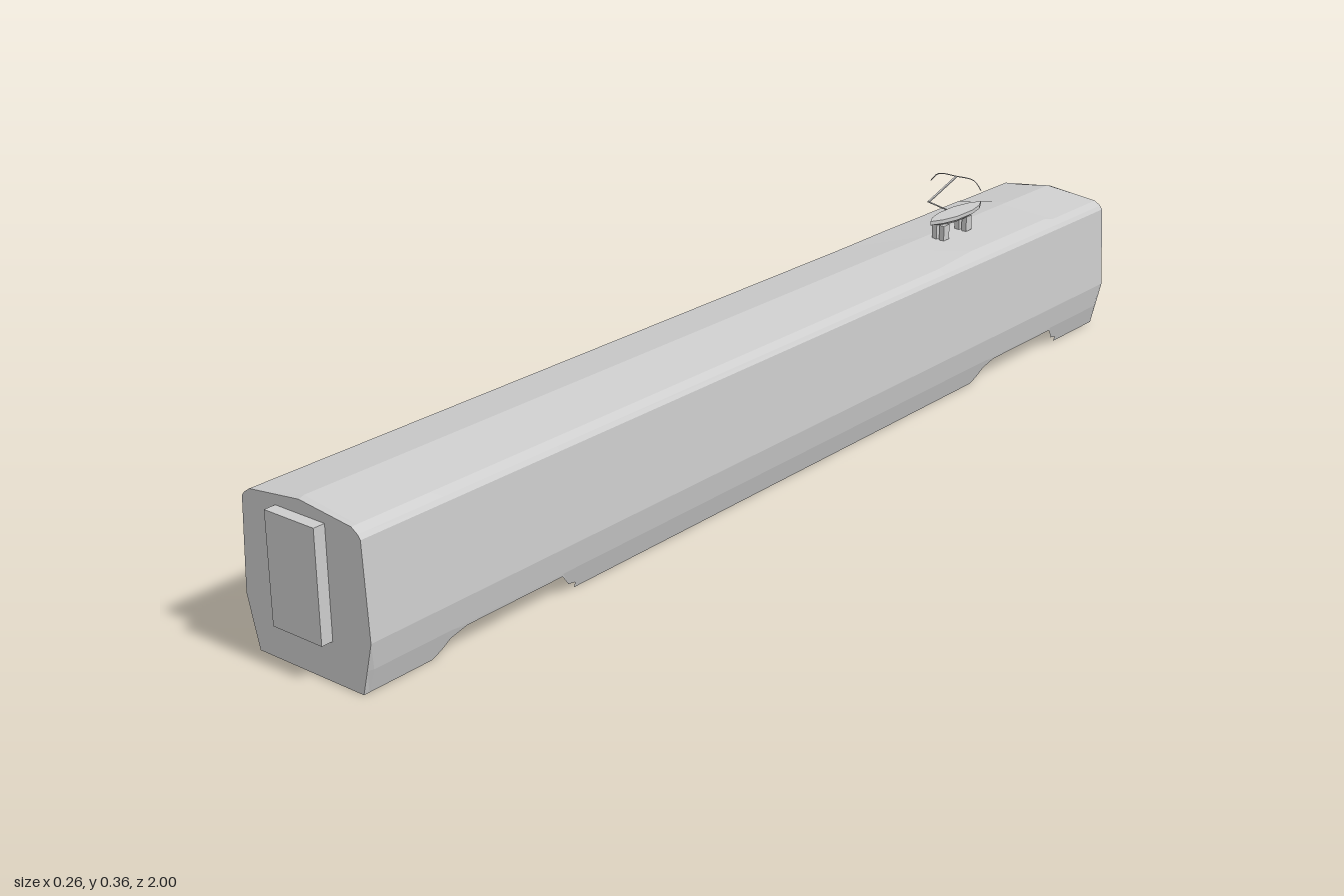
import * as THREE from 'three';

const grey = new THREE.MeshStandardMaterial({ color: 0xcccccc, flatShading: true, side: THREE.DoubleSide });

function add(parent, name, geometry, x = 0, y = 0, z = 0) {
  const mesh = new THREE.Mesh(geometry, grey);
  mesh.name = name;
  mesh.position.set(x, y, z);
  parent.add(mesh);
  return mesh;
}

// Joins equal-sized cross-sections into an open skin
function loft(sections) {
  const n = sections[0].length, index = [];
  for (let i = 0; i < sections.length - 1; i++) {
    for (let j = 0; j < n - 1; j++) {
      const a = i * n + j, b = a + n;
      index.push(a, a + 1, b, a + 1, b + 1, b);
    }
  }
  const g = new THREE.BufferGeometry();
  g.setAttribute('position', new THREE.Float32BufferAttribute(sections.flat(2), 3));
  g.setIndex(index);
  g.computeVertexNormals();
  return g;
}

// Half profile from skirt edge to roof ridge, mirrored to a full section
function profile(skirtY, isEnd, raised) {
  const half = [
    [0.107 + skirtY * 0.34, skirtY],
    [isEnd ? 0.117 : 0.12, 0.04],
    [0.128, 0.085],
    [0.12, 0.237],
    [0.115, 0.244],
    raised ? [0.098, 0.256] : [0.103, 0.252],
    [0, isEnd ? 0.264 : 0.267],
  ];
  return [...half, ...half.slice(0, -1).reverse().map(([x, y]) => [-x, y])];
}

// Thin flat bar between two points in the plane x = 0
function bar(parent, name, [z1, y1], [z2, y2]) {
  const m = add(parent, name, new THREE.BoxGeometry(0.004, 0.002, Math.hypot(z2 - z1, y2 - y1)),
    0, (y1 + y2) / 2, (z1 + z2) / 2);
  m.rotation.x = -Math.atan2(y2 - y1, z2 - z1);
}

export function createModel() {
  const car = new THREE.Group();
  car.name = 'railCar';

  // Body shell, open below, with a notch in the skirts over each bogie
  const notch = [[0.15, 0], [0.135, 0.01], [0.12, 0.025], [0.09, 0.035],
    [-0.11, 0.035], [-0.13, 0.013], [-0.146, 0.01], [-0.147, 0]];
  const stations = [[0.98, 0], [0.97, 0]];
  for (const c of [0.7, -0.69]) {
    for (const [dz, y] of notch) stations.push([c + dz, y]);
    if (c > 0) stations.push([-0.43, 0]);
  }
  stations.push([-0.97, 0], [-0.98, 0]);
  const sections = stations.map(([z, y]) =>
    profile(y, Math.abs(z) > 0.975, z < -0.5 && z > -0.81).map(([px, py]) => [px, py, z]));
  add(car, 'bodyShell', loft(sections));

  // End walls, gangways and bogie side plates
  const wall = new THREE.Shape(profile(0, true, false).map(([x, y]) => new THREE.Vector2(x, y)));
  for (const s of [1, -1]) {
    const end = s > 0 ? 'front' : 'rear';
    const w = add(car, end + 'EndWall', new THREE.ShapeGeometry(wall), 0, 0, s * 0.98);
    if (s < 0) w.rotation.y = Math.PI;
    add(car, end + 'Gangway', new THREE.BoxGeometry(0.1, 0.178, 0.02), 0, 0.153, s * 0.99);
    for (const side of [1, -1]) {
      const p = add(car, end + 'BogiePlate', new THREE.PlaneGeometry(0.28, 0.042), side * 0.05, 0.021, s * 0.705);
      p.rotation.y = side * Math.PI / 2;
    }
  }

  // Current collector: pointed base on four legs
  const collector = new THREE.Group();
  collector.name = 'currentCollector';
  car.add(collector);
  const ring = (y, w, l) => [[0, 1], [0.6, 0.72], [1, 0.3], [1, -0.3], [0.6, -0.72], [0, -1],
    [-0.6, -0.72], [-1, -0.3], [-1, 0.3], [-0.6, 0.72], [0, 1]].map(([x, z]) => [x * w, y, z * l]);
  add(collector, 'collectorBase', loft([
    ring(0.29, 0, 0), ring(0.29, 0.01, 0.05), ring(0.298, 0.02, 0.085),
    ring(0.305, 0.02, 0.085), ring(0.305, 0, 0),
  ]), 0.025, 0, -0.6);
  for (const x of [0.017, 0.033]) {
    for (const z of [-0.55, -0.625]) {
      add(collector, 'collectorLeg', new THREE.BoxGeometry(0.01, 0.028, 0.018), x, 0.278, z);
    }
  }

  // Folding arm and curved contact bow
  bar(collector, 'lowerArm', [-0.61, 0.3], [-0.545, 0.331]);
  bar(collector, 'upperArm', [-0.545, 0.331], [-0.635, 0.359]);
  const bow = new THREE.CatmullRomCurve3([[-0.056, 0.342], [-0.04, 0.358], [0, 0.36], [0.04, 0.358], [0.056, 0.342]]
    .map(([x, y]) => new THREE.Vector3(x, y, -0.635)));
  add(collector, 'contactBow', new THREE.TubeGeometry(bow, 16, 0.001, 4));

  return car;
}
